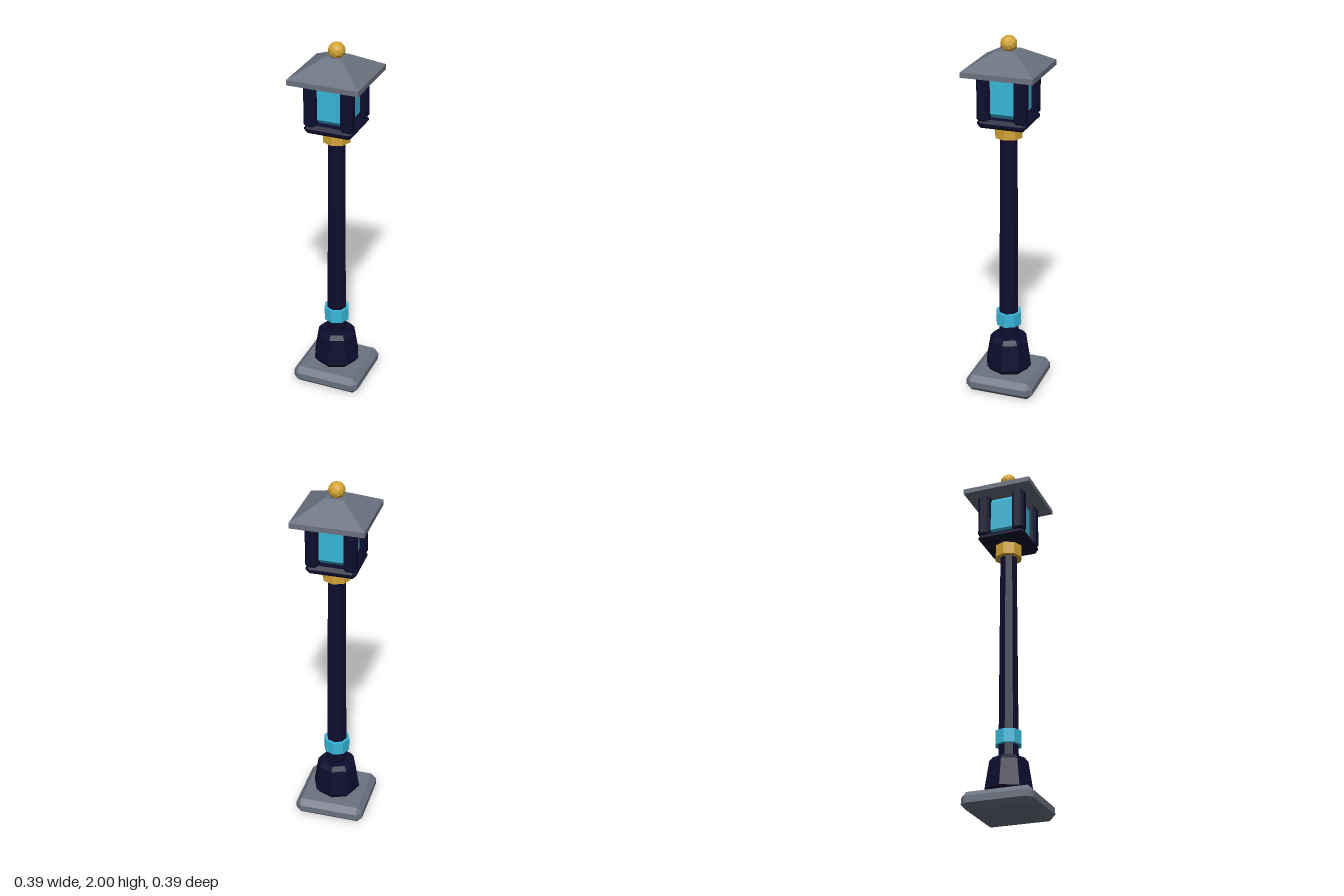
import * as THREE from 'three';
import { ConvexGeometry } from 'three/addons/geometries/ConvexGeometry.js';

const paint = (name, color) => {
  const m = new THREE.MeshStandardMaterial({ color, flatShading: true });
  m.name = name;
  return m;
};

// Box with single-step chamfers, given half width, bottom, top and bevel
function bevelBox(half, y0, y1, bevel) {
  const h = (y1 - y0) / 2, mid = (y0 + y1) / 2, pts = [];
  for (const sx of [-1, 1]) for (const sy of [-1, 1]) for (const sz of [-1, 1]) {
    for (let face = 0; face < 3; face++) {
      const inset = [0, 1, 2].map((axis) => (axis === face ? 0 : bevel));
      pts.push(new THREE.Vector3(
        sx * (half - inset[0]), mid + sy * (h - inset[1]), sz * (half - inset[2])));
    }
  }
  return new ConvexGeometry(pts);
}

// Octagonal turned part from [radius, height] pairs
const turned = (profile) =>
  new THREE.LatheGeometry(profile.map(([r, y]) => new THREE.Vector2(r, y)), 8);

const octagon = (r, y0, y1) => turned([[0, y0], [r, y0], [r, y1], [0, y1]]);

export function createModel() {
  const group = new THREE.Group();
  group.name = 'streetLamp';
  const stone = paint('slate grey', 0x6b7280);
  const iron = paint('dark navy iron', 0x0d0d2f);
  const gold = paint('gold', 0xd4a435);
  const glass = paint('cyan glass', 0x38b6d8);

  const add = (name, geometry, material) => {
    const mesh = new THREE.Mesh(geometry, material);
    mesh.name = name;
    group.add(mesh);
    return mesh;
  };

  // Foot and pole
  add('basePlate', bevelBox(0.192, 0, 0.095, 0.03), stone);
  add('pedestal', turned([[0, 0.095], [0.11, 0.095], [0.132, 0.125],
    [0.108, 0.272], [0.088, 0.297], [0, 0.297]]), iron);
  add('pole', turned([[0, 0.28], [0.056, 0.28], [0.048, 1.48], [0, 1.48]]), iron);
  add('poleRing', octagon(0.072, 0.37, 0.445), glass);
  add('collar', octagon(0.076, 1.46, 1.535), gold);

  // Lantern
  add('lanternFloor', bevelBox(0.132, 1.53, 1.578, 0.018), iron);
  add('lanternGlass', bevelBox(0.1, 1.575, 1.812, 0.03), glass);
  for (const x of [-0.1, 0.1]) for (const z of [-0.1, 0.1]) {
    add('cornerPost', bevelBox(0.033, 1.565, 1.82, 0.014), iron).position.set(x, 0, z);
  }

  // Roof: square eaves rising to a small flat top
  const eave = 0.193, cap = 0.049, roof = [];
  for (const x of [-1, 1]) for (const z of [-1, 1]) {
    for (const [r, y] of [[eave, 1.81], [eave, 1.838], [cap, 1.925]]) {
      roof.push(new THREE.Vector3(x * r, y, z * r));
    }
  }
  add('roof', new ConvexGeometry(roof), stone);
  add('finial', new THREE.IcosahedronGeometry(0.045, 1), gold).position.y = 1.955;

  return group;
}
